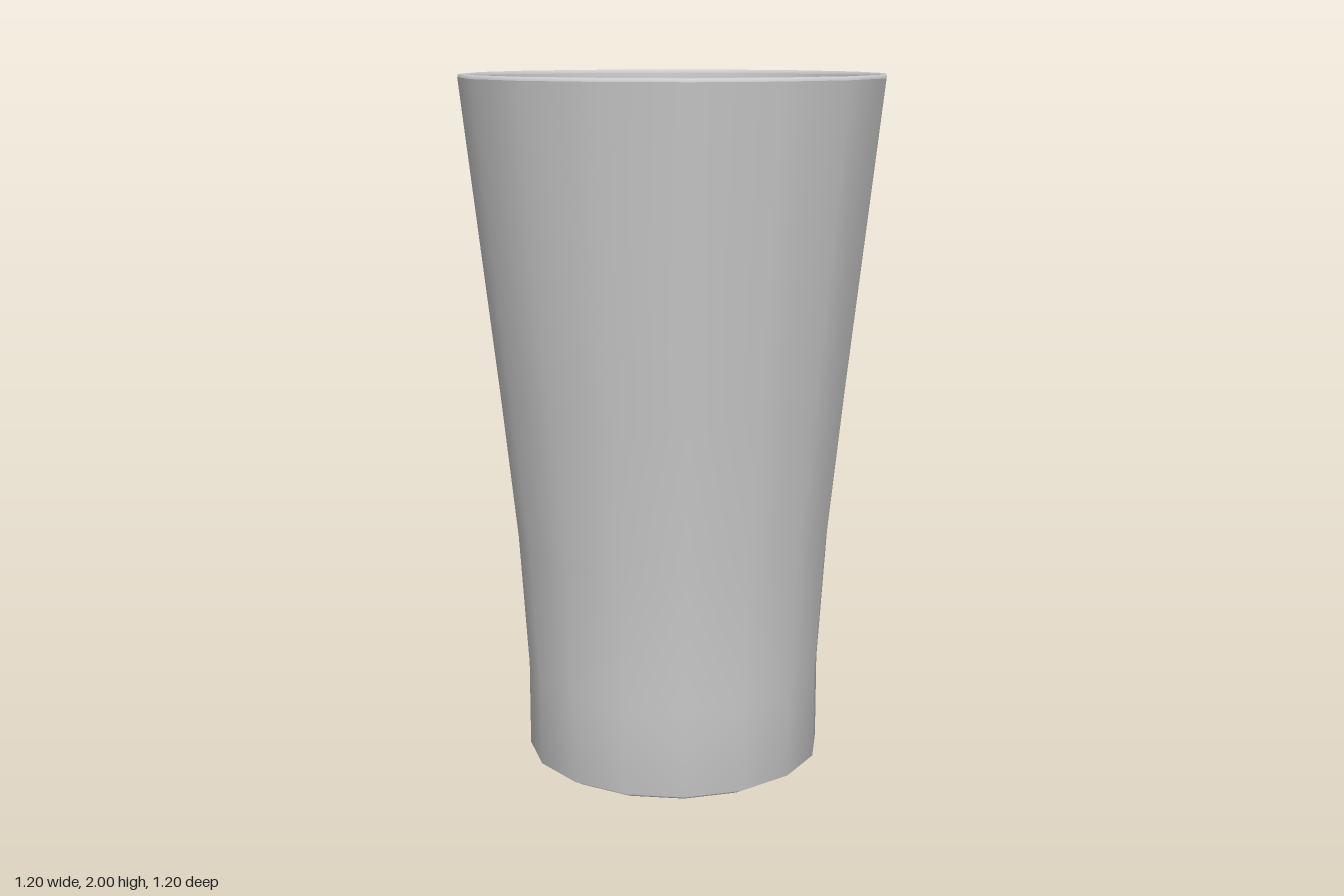
import * as THREE from 'three';

const SIDES = 16;

export function createModel() {
  const group = new THREE.Group();
  group.name = 'tumbler';
  const material = new THREE.MeshStandardMaterial({ color: 0xcccccc });

  // Turn a [radius, height] profile into a smooth-shaded part
  const addLathe = (name, profile) => {
    const points = profile.map(([r, y]) => new THREE.Vector2(r, y));
    const mesh = new THREE.Mesh(new THREE.LatheGeometry(points, SIDES), material);
    mesh.name = name;
    group.add(mesh);
  };

  // Outside: flat base, rounded foot, straight lower wall, flared upper wall
  addLathe('outerWall', [
    [0, 0], [0.35, 0.003], [0.395, 0.01], [0.43, 0.03], [0.43, 0.28],
    [0.455, 0.67], [0.5, 1.1], [0.6, 1.99],
  ]);

  // Narrow rounded lip joining both walls
  addLathe('rim', [[0.6, 1.99], [0.598, 1.998], [0.59, 2], [0.582, 1.998], [0.58, 1.99]]);

  // Inside: wall from the lip down to the rounded floor
  addLathe('innerWall', [
    [0.58, 1.99], [0.485, 1.1], [0.438, 0.67], [0.425, 0.28],
    [0.42, 0.05], [0.385, 0.028], [0.34, 0.02], [0, 0.018],
  ]);

  return group;
}
